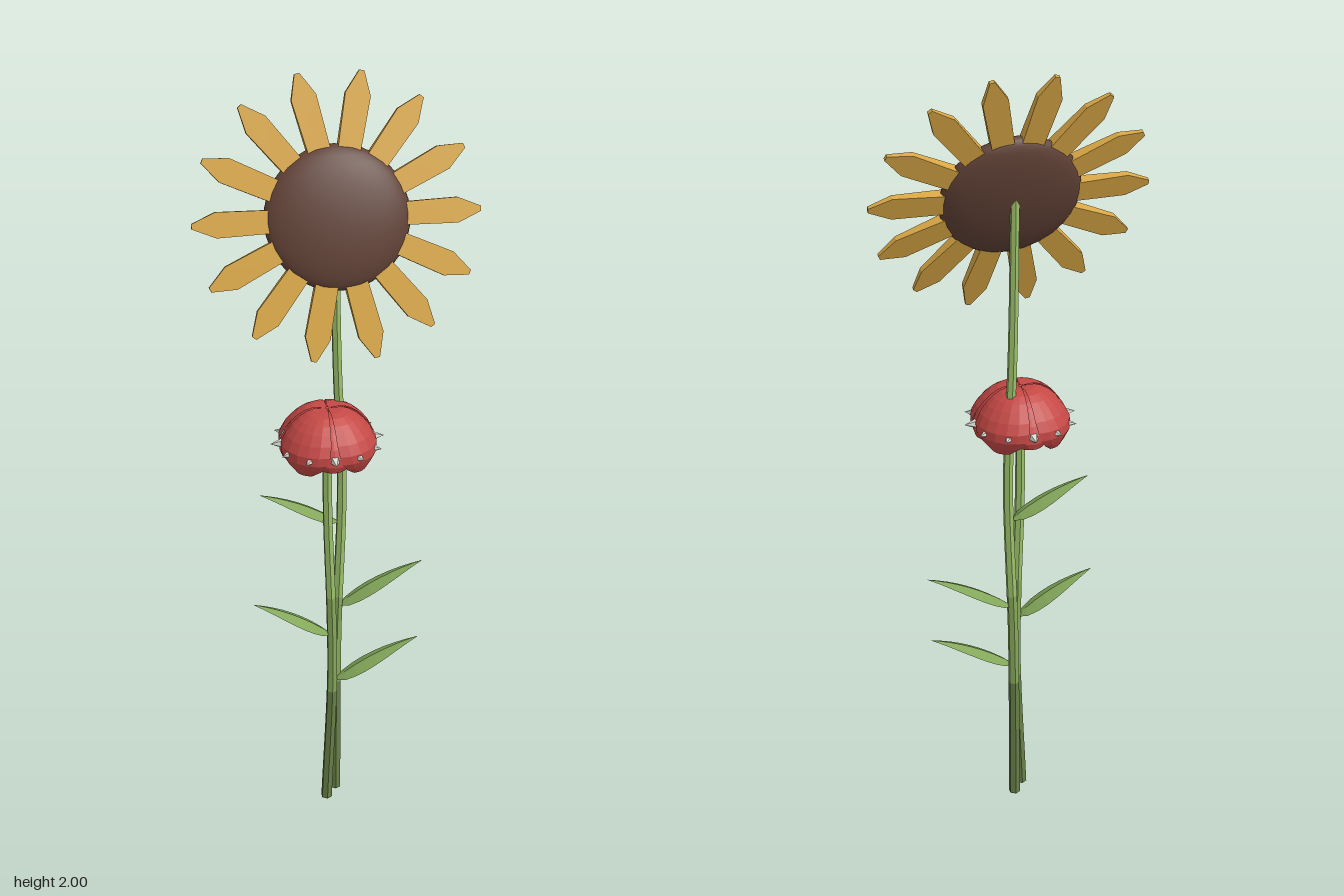
import * as THREE from 'three';

const V = (x, y, z) => new THREE.Vector3(x, y, z);

function material(name, color, side = THREE.FrontSide) {
  const m = new THREE.MeshStandardMaterial({ color, side, flatShading: true });
  m.name = name;
  return m;
}

export function createModel() {
  const D = THREE.DoubleSide;
  const darkGreen = material('dark green', 0x667e47);
  const midGreen = material('mid green', 0x86a75a);
  const lightGreen = material('light green', 0x9cc06a);
  const leafGreen = material('leaf green', 0x82a659, D);
  const gold = material('petal gold', 0xd6a544);
  const brown = material('seed brown', 0x604136);
  brown.flatShading = false;
  const red = material('blossom red', 0xc44845, D);
  const grey = material('dark grey', 0x5d675f, D);
  const pale = material('spike grey', 0xdcdcd4);

  const root = new THREE.Group();
  function add(name, geometry, mat, parent = root) {
    const mesh = new THREE.Mesh(geometry, mat);
    mesh.name = name;
    parent.add(mesh);
    return mesh;
  }

  // Tapered stems, darker towards the ground
  function stem(name, points, r0, r1) {
    const curve = new THREE.CatmullRomCurve3(points);
    const n = 20, sides = 6;
    const geo = new THREE.TubeGeometry(curve, n, r0, sides);
    const pos = geo.attributes.position, p = V(0, 0, 0);
    for (let i = 0; i < pos.count; i++) {
      const t = Math.floor(i / (sides + 1)) / n;
      const c = curve.getPointAt(t);
      p.fromBufferAttribute(pos, i).sub(c).multiplyScalar(1 + (r1 / r0 - 1) * t).add(c);
      pos.setXYZ(i, p.x, p.y, p.z);
    }
    const top = points[points.length - 1].y;
    const a = Math.round(n * 0.36 / top), b = Math.round(n * 0.62 / top);
    const per = sides * 6;
    geo.addGroup(0, a * per, 0);
    geo.addGroup(a * per, (b - a) * per, 1);
    geo.addGroup(b * per, (n - b) * per, 2);
    add(name, geo, [darkGreen, midGreen, lightGreen]);
    const foot = add(name + 'Foot', new THREE.CircleGeometry(r0, sides), darkGreen);
    foot.rotation.x = Math.PI / 2;
    foot.position.copy(points[0]);
  }
  stem('tallStem', [V(0, 0.005, -0.04), V(0.004, 0.5, -0.04), V(0.018, 0.95, -0.04),
    V(0.006, 1.3, -0.04), V(0, 1.77, -0.04)], 0.015, 0.011);
  stem('shortStem', [V(-0.03, 0.005, 0), V(-0.014, 0.4, 0), V(-0.016, 0.6, 0),
    V(-0.025, 0.9, 0), V(-0.025, 1.17, 0)], 0.015, 0.012);

  // Leaves: arched, pointed blades with drooping edges
  function leaf(name, x0, y0, z, x1, y1) {
    const geo = new THREE.PlaneGeometry(1, 1, 8, 2);
    const pos = geo.attributes.position;
    for (let i = 0; i < pos.count; i++) {
      const t = pos.getX(i) + 0.5, s = pos.getY(i) * 2;
      const f = Math.sin(Math.PI * Math.pow(t, 0.68));
      const y = y0 + (y1 - y0) * (1.4 * t - 0.4 * t * t) - 0.014 * (Math.abs(s) - 0.3) * f;
      pos.setXYZ(i, x0 + (x1 - x0) * t, y, z - s * (0.001 + 0.033 * f));
    }
    geo.computeVertexNormals();
    add(name, geo, leafGreen);
  }
  leaf('shortStemLeafLeft', -0.01, 0.385, 0, 0.212, 0.498);
  leaf('shortStemLeafRight', -0.015, 0.53, 0, -0.217, 0.642);
  leaf('tallStemLeafLeft', 0.006, 0.59, -0.04, 0.228, 0.706);
  leaf('tallStemLeafRight', 0.012, 0.843, -0.04, -0.19, 0.94);

  // Large yellow flower head, tipped back
  const head = new THREE.Group();
  head.name = 'yellowFlowerHead';
  head.position.set(0, 1.69, 0);
  head.rotation.x = -Math.PI / 9;
  root.add(head);
  add('seedDisc', new THREE.SphereGeometry(0.173, 32, 16), brown, head).scale.set(1, 0.985, 0.27);

  // Petals: bluntly pointed, thicker at the base than at the tip
  const outline = [[0.13, -0.026], [0.2, -0.028], [0.285, -0.03], [0.341, -0.006],
    [0.341, 0.006], [0.285, 0.03], [0.2, 0.028], [0.13, 0.026]];
  const petalShape = new THREE.Shape(outline.map(([x, y]) => new THREE.Vector2(x, y)));
  const petalGeo = new THREE.ExtrudeGeometry(petalShape, { depth: 2, bevelEnabled: false });
  const petalPos = petalGeo.attributes.position;
  for (let i = 0; i < petalPos.count; i++) {
    const half = 0.015 - 0.01 * (petalPos.getX(i) - 0.13) / 0.211;
    petalPos.setZ(i, (petalPos.getZ(i) - 1) * half);
  }
  petalGeo.computeVertexNormals();
  for (let i = 0; i < 14; i++) {
    add('yellowPetal', petalGeo, gold, head).rotation.z = i * Math.PI / 7;
  }

  // Red domed blossom: four long petals over four short ones
  const blossom = new THREE.Group();
  blossom.name = 'redBlossom';
  blossom.position.set(-0.025, 0, 0);
  root.add(blossom);
  const profile = new THREE.CatmullRomCurve3([V(0.004, 1.194, 0), V(0.045, 1.194, 0),
    V(0.09, 1.163, 0), V(0.122, 1.105, 0), V(0.102, 1.055, 0)]);
  function domePetal(reach, scale, drop, halfAngle) {
    const geo = new THREE.PlaneGeometry(1, 1, 6, 10);
    const pos = geo.attributes.position;
    for (let i = 0; i < pos.count; i++) {
      const s = pos.getX(i) * 2, v = 0.5 - pos.getY(i);
      const p = profile.getPoint(v * reach);
      const k = Math.max(0, (v - 0.55) / 0.45);
      const a = s * halfAngle * Math.sqrt(1 - 0.88 * k * k);
      const r = p.x * scale * (1 - 0.06 * s * s);
      pos.setXYZ(i, r * Math.sin(a), p.y - drop, r * Math.cos(a));
    }
    geo.computeVertexNormals();
    return geo;
  }
  const longPetal = domePetal(1, 1.05, 0, 0.72);
  const shortPetal = domePetal(0.87, 0.98, 0.008, 0.66);
  for (let i = 0; i < 4; i++) {
    const a = i * Math.PI / 2;
    add('longRedPetal', longPetal, red, blossom).rotation.y = a + Math.PI / 4;
    add('shortRedPetal', shortPetal, red, blossom).rotation.y = a;
  }

  // Dark lining under the dome
  const lining = [[0.012, 1.13], [0.06, 1.135], [0.085, 1.12], [0.095, 1.1]];
  add('blossomLining', new THREE.LatheGeometry(
    lining.map(([x, y]) => new THREE.Vector2(x, y)), 12), grey, blossom);

  // Ring of spikes around the rim
  const spikeGeo = new THREE.ConeGeometry(0.014, 0.032, 5);
  spikeGeo.rotateX(Math.PI / 2);
  spikeGeo.translate(0, 1.106, 0.126);
  for (let i = 0; i < 12; i++) {
    add('spike', spikeGeo, pale, blossom).rotation.y = i * Math.PI / 6;
  }
  return root;
}
